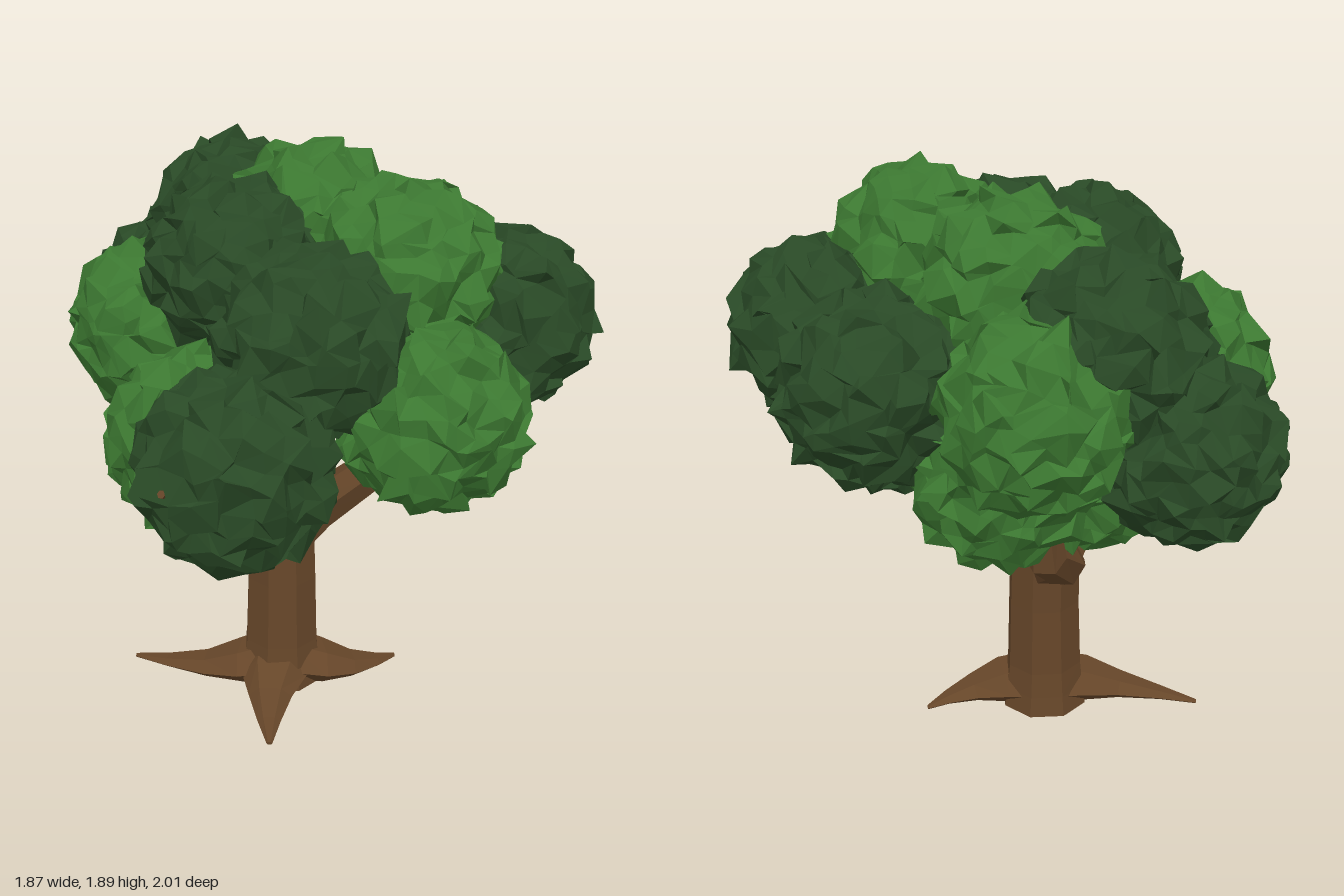
import * as THREE from 'three';

const material = (color) => new THREE.MeshStandardMaterial({ color, flatShading: true });
const bark = material(0x664629);
const lightLeaf = material(0x3c7831);
const darkLeaf = material(0x294926);

function seeded(seed) {
  let s = seed * 7919 + 17;
  return () => (s = (s * 16807) % 2147483647) / 2147483647;
}

// Faceted limb swept along rings of [x, y, z, radius, flatness].
function limb(name, rings, sides) {
  const points = rings.map(([x, y, z]) => new THREE.Vector3(x, y, z));
  const last = points.length - 1;
  const up = new THREE.Vector3(0, 1, 0);
  const side = points[last].clone().sub(points[0]).normalize().cross(up);
  if (side.length() < 0.3) side.set(1, 0, 0);
  side.normalize();

  const positions = [];
  const index = [];
  points.forEach((p, i) => {
    const tangent = points[Math.min(i + 1, last)].clone().sub(points[Math.max(i - 1, 0)]).normalize();
    const normal = tangent.cross(side).normalize();
    const [, , , radius, flat = 1] = rings[i];
    for (let j = 0; j < sides; j++) {
      const a = (j / sides) * Math.PI * 2;
      const v = p.clone()
        .addScaledVector(side, Math.cos(a) * radius)
        .addScaledVector(normal, Math.sin(a) * radius * flat);
      positions.push(v.x, Math.max(v.y, 0), v.z);
      if (i < last) {
        const k = i * sides;
        const n = (j + 1) % sides;
        index.push(k + j, k + n, k + sides + n, k + j, k + sides + n, k + sides + j);
      }
    }
  });
  // End caps
  for (let j = 1; j < sides - 1; j++) {
    index.push(0, j + 1, j);
    index.push(last * sides, last * sides + j, last * sides + j + 1);
  }
  const geometry = new THREE.BufferGeometry();
  geometry.setAttribute('position', new THREE.Float32BufferAttribute(positions, 3));
  geometry.setIndex(index);
  const flatGeometry = geometry.toNonIndexed();
  flatGeometry.computeVertexNormals();
  const mesh = new THREE.Mesh(flatGeometry, bark);
  mesh.name = name;
  return mesh;
}

// Ragged leaf ball: a sphere pushed out into bumps around scattered directions.
function leafGeometry(seed) {
  const random = seeded(seed);
  const jitter = (range) => (random() - 0.5) * range;
  const lumps = [];
  const count = 48;
  for (let i = 0; i < count; i++) {
    const y = 1 - (2 * (i + 0.5)) / count;
    const a = i * 2.39996 + seed + random() * 0.3;
    const r = Math.sqrt(1 - y * y);
    lumps.push(new THREE.Vector3(Math.cos(a) * r, y, Math.sin(a) * r));
  }
  const geometry = new THREE.IcosahedronGeometry(1, 5);
  const position = geometry.attributes.position;
  const moved = new Map();
  const v = new THREE.Vector3();
  for (let i = 0; i < position.count; i++) {
    v.fromBufferAttribute(position, i);
    const key = v.toArray().map((c) => Math.round(c * 1000)).join();
    if (!moved.has(key)) {
      const nearest = Math.min(...lumps.map((l) => l.distanceTo(v)));
      const p = v.clone().add(new THREE.Vector3(jitter(0.22), jitter(0.22), jitter(0.22)));
      moved.set(key, p.setLength(1.11 - 0.7 * nearest + jitter(0.11)));
    }
    const p = moved.get(key);
    position.setXYZ(i, p.x, p.y, p.z);
  }
  geometry.computeVertexNormals();
  return geometry;
}

export function createModel() {
  const tree = new THREE.Group();
  tree.name = 'tree';

  // Trunk
  tree.add(limb('trunk', [
    [-0.07, 0, -0.04, 0.15], [-0.07, 0.07, -0.04, 0.14], [-0.07, 0.16, -0.04, 0.131],
    [-0.07, 0.4, -0.045, 0.124], [-0.075, 0.58, -0.05, 0.122], [-0.075, 0.62, -0.05, 0.08],
  ], 8));

  // Roots spreading along the ground
  const rootTips = [[-0.59, 0.07], [0.06, 0.41], [0.28, -0.26]];
  const rootSteps = [[0, 0.07, 0.13, 0.7], [0.3, 0.055, 0.115, 0.6], [0.55, 0.035, 0.075, 0.5], [0.8, 0.022, 0.04, 0.45], [1, 0.012, 0.01, 0.6]];
  rootTips.forEach(([x, z], i) => {
    const bend = i === 1 ? -0.03 : 0.04;
    tree.add(limb('root', rootSteps.map(([t, y, r, flat]) => {
      const sway = Math.sin(t * Math.PI) * bend;
      return [-0.07 + (x + 0.07) * t + sway, y, -0.04 + (z + 0.04) * t + sway, r, flat];
    }), 6));
  });

  // Branches
  tree.add(limb('rightBranch', [
    [-0.06, 0.55, -0.06, 0.1], [0.05, 0.66, -0.08, 0.08], [0.2, 0.79, -0.11, 0.07], [0.26, 0.88, -0.12, 0.065], [0.29, 1.02, -0.13, 0.055],
  ], 6));
  tree.add(limb('backBranch', [
    [-0.09, 0.55, -0.06, 0.1], [-0.18, 0.65, -0.22, 0.08], [-0.24, 0.72, -0.38, 0.07], [-0.23, 0.82, -0.53, 0.065], [-0.22, 0.97, -0.55, 0.055],
  ], 6));
  tree.add(limb('frontBranch', [
    [-0.1, 0.56, -0.04, 0.1], [-0.15, 0.68, 0.12, 0.085], [-0.18, 0.81, 0.33, 0.07], [-0.12, 1.0, 0.62, 0.035], [-0.03, 1.18, 0.97, 0.012],
  ], 6));
  tree.add(limb('twig', [
    [-0.18, 0.8, 0.3, 0.04], [-0.3, 0.92, 0.4, 0.025], [-0.42, 1.03, 0.5, 0.012],
  ], 5));

  // Leaf clusters: [x, y, z, radius, dark]
  const clusters = [
    [-0.26, 1.37, -0.71, 0.29, 0], [0.28, 1.33, -0.6, 0.29, 1],
    [-0.65, 1.22, -0.49, 0.28, 1], [-0.41, 1.49, -0.5, 0.3, 1],
    [0.62, 1.37, -0.24, 0.29, 1], [-0.05, 1.57, -0.27, 0.3, 0],
    [0.36, 1.56, -0.01, 0.3, 0], [-0.5, 1.27, -0.01, 0.29, 0],
    [-0.18, 1.53, 0.06, 0.29, 1], [-0.17, 1.08, 0.4, 0.29, 0],
    [0.2, 1.43, 0.37, 0.3, 1], [0.54, 1.22, 0.28, 0.29, 0],
    [0.07, 1.15, 0.7, 0.3, 1], [0.38, 1.1, -0.17, 0.29, 1],
    [-0.1, 1.08, -0.53, 0.28, 0], [-0.3, 1.05, -0.28, 0.28, 0],
  ];
  clusters.forEach(([x, y, z, radius, dark], i) => {
    const mesh = new THREE.Mesh(leafGeometry(i + 1), dark ? darkLeaf : lightLeaf);
    mesh.name = 'leafCluster';
    mesh.position.set(x, y, z);
    mesh.scale.setScalar(radius);
    tree.add(mesh);
  });
  return tree;
}
